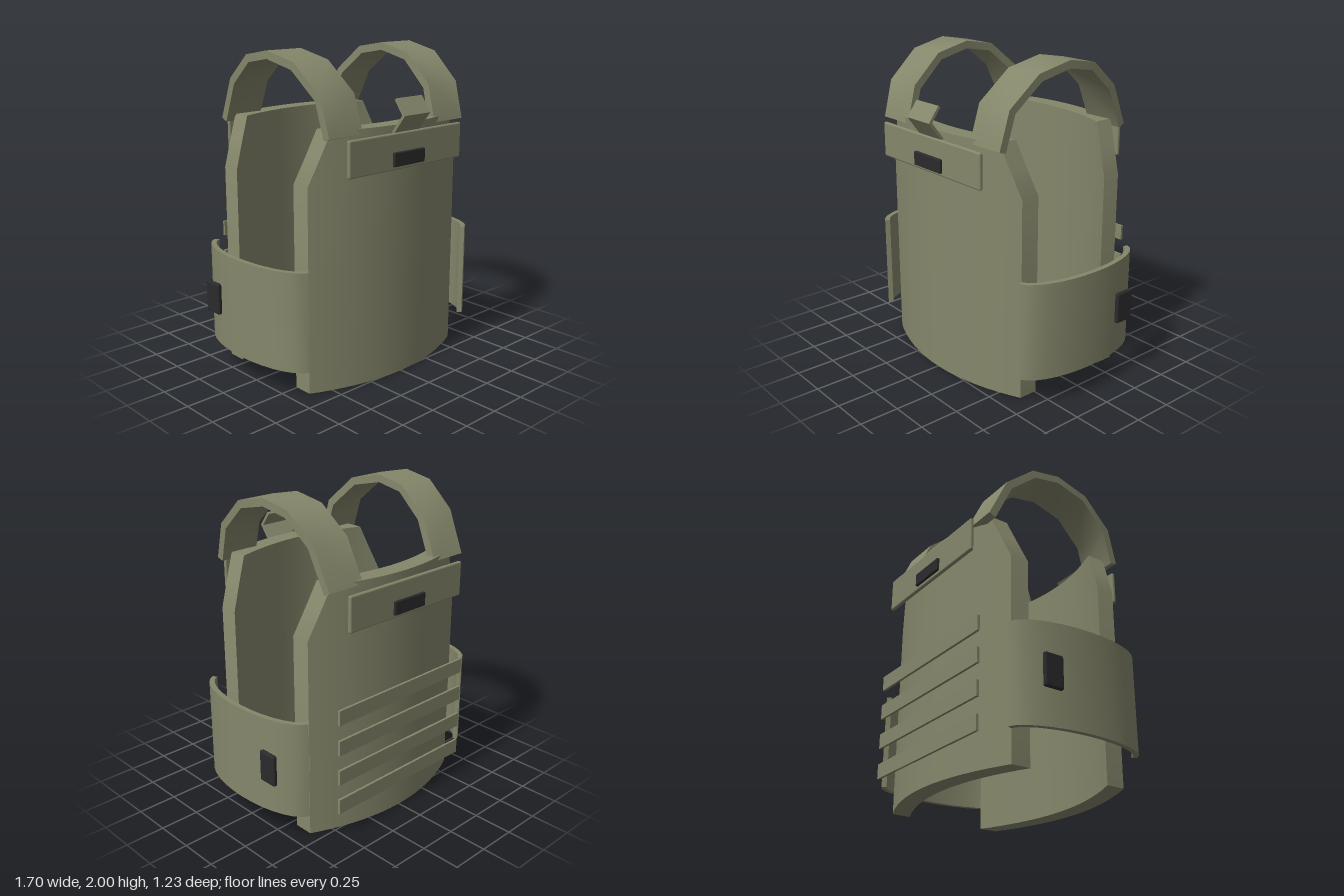
import * as THREE from 'three';
import { toCreasedNormals } from 'three/addons/utils/BufferGeometryUtils.js';
import { RoundedBoxGeometry } from 'three/addons/geometries/RoundedBoxGeometry.js';

const fabric = new THREE.MeshStandardMaterial({ color: 0x85876b });
const dark = new THREE.MeshStandardMaterial({ color: 0x2b2b2d });

// Solid through a row of four-cornered cross-sections, capped at both ends
function loft(sections) {
  const pts = sections.flat();
  const tris = [];
  const quad = (a, b, c, d) => tris.push([a, b, c], [a, c, d]);
  const last = (sections.length - 1) * 4;
  for (let s = 0; s < last; s += 4) {
    for (let k = 0; k < 4; k++) {
      const n = (k + 1) % 4;
      quad(s + k, s + n, s + 4 + n, s + 4 + k);
    }
  }
  quad(3, 2, 1, 0);
  quad(last, last + 1, last + 2, last + 3);
  // Turn every face outward, whichever way the sections run
  let volume = 0;
  const cross = new THREE.Vector3();
  for (const [a, b, c] of tris) volume += pts[a].dot(cross.crossVectors(pts[b], pts[c]));
  const order = volume < 0 ? [0, 2, 1] : [0, 1, 2];
  const positions = tris.flatMap(t => order.flatMap(i => pts[t[i]].toArray()));
  const geometry = new THREE.BufferGeometry();
  geometry.setAttribute('position', new THREE.Float32BufferAttribute(positions, 3));
  return toCreasedNormals(geometry, 0.7);
}

// Band of even thickness along a 2D path; place(u, v, side, centre) makes the 3D corner
function band(path, thickness, place) {
  const p = path.map(([u, v]) => new THREE.Vector2(u, v));
  return loft(p.map((c, i) => {
    const before = c.clone().sub(p[Math.max(i - 1, 0)]).normalize();
    const after = p[Math.min(i + 1, p.length - 1)].clone().sub(c).normalize();
    const t = before.clone().add(after).normalize();
    const solid = i === 0 ? after : before;
    const n = new THREE.Vector2(-t.y, t.x).multiplyScalar(thickness / 2 / t.dot(solid));
    const a = c.clone().add(n), b = c.clone().sub(n);
    return [place(a.x, a.y, 0, c), place(a.x, a.y, 1, c), place(b.x, b.y, 1, c), place(b.x, b.y, 0, c)];
  }));
}

// Curved plate with sloping shoulders; dir is 1 for front, -1 for back
function panel(outerZ, dir) {
  const columns = [-0.632, -0.566];
  for (let i = 0; i <= 12; i++) columns.push(-0.5 + i / 12);
  columns.push(0.566, 0.632);
  return loft(columns.map(x => {
    const top = 1.575 - Math.max(0, Math.abs(x) - 0.5) * (0.315 / 0.132);
    const outer = outerZ - 0.378 * x * x;
    const corner = (y, z) => new THREE.Vector3(x, y, dir * z);
    return [corner(0, outer), corner(top, outer), corner(top, outer - 0.122), corner(0, outer - 0.122)];
  }));
}

export function createModel() {
  const model = new THREE.Group();
  const add = (name, geometry, material = fabric, x = 0, y = 0, z = 0) => {
    const mesh = new THREE.Mesh(geometry, material);
    mesh.name = name;
    mesh.position.set(x, y, z);
    model.add(mesh);
  };
  const rounded = (w, h, d, r) => new RoundedBoxGeometry(w, h, d, 2, r);

  // Body panels
  add('frontPanel', panel(0.515, 1));
  add('backPanel', panel(0.57, -1));

  // Upper flaps with dark patches
  add('frontFlap', rounded(0.955, 0.22, 0.026, 0.011), fabric, 0, 1.423, 0.531);
  add('backFlap', rounded(0.955, 0.22, 0.026, 0.011), fabric, 0, 1.423, -0.588);
  add('frontPatch', rounded(0.26, 0.085, 0.03, 0.006), dark, 0, 1.378, 0.547);
  add('backPatch', rounded(0.26, 0.085, 0.03, 0.006), dark, 0, 1.378, -0.602);

  // Bent grab handle above the front flap
  add('grabHandle', band([[0.52, 1.532], [0.602, 1.64], [0.537, 1.73]], 0.018,
    (z, y, side) => new THREE.Vector3(side ? 0.108 : -0.108, y, z)));

  // Webbing rows across the back
  for (let i = 0; i < 4; i++) {
    add('webbingRow' + (i + 1), new THREE.BoxGeometry(1.09, 0.095, 0.016), fabric, 0, 0.223 + i * 0.196, -0.579);
  }

  // Shoulder straps, side bands and buckles on both sides
  const strapPath = [[0.452, 1.535], [0.39, 1.757], [0.2, 1.925], [-0.02, 1.975],
    [-0.21, 1.942], [-0.39, 1.792], [-0.505, 1.54]];
  const sidePath = [];
  for (let i = 0; i <= 14; i++) {
    const a = (i / 7 - 1) * 1.45;
    sidePath.push([0.66 + 0.169 * Math.cos(a), -0.025 + 0.445 * Math.sin(a)]);
  }
  for (const [label, s] of [['left', 1], ['right', -1]]) {
    add(label + 'ShoulderStrap', band(strapPath, 0.048, (z, y, side, c) => {
      const bow = 0.036 * Math.max(0, 1 - ((c.x + 0.02) / 0.48) ** 2);
      return new THREE.Vector3(s * ((side ? 0.565 : 0.305) + bow), y, z);
    }));
    add(label + 'SideBand', band(sidePath, 0.032,
      (x, z, side) => new THREE.Vector3(s * x, side ? 0.79 : 0.178, z)));
    add(label + 'Buckle', rounded(0.03, 0.2, 0.128, 0.012), dark, s * 0.837, 0.486, -0.291);
  }
  return model;
}
